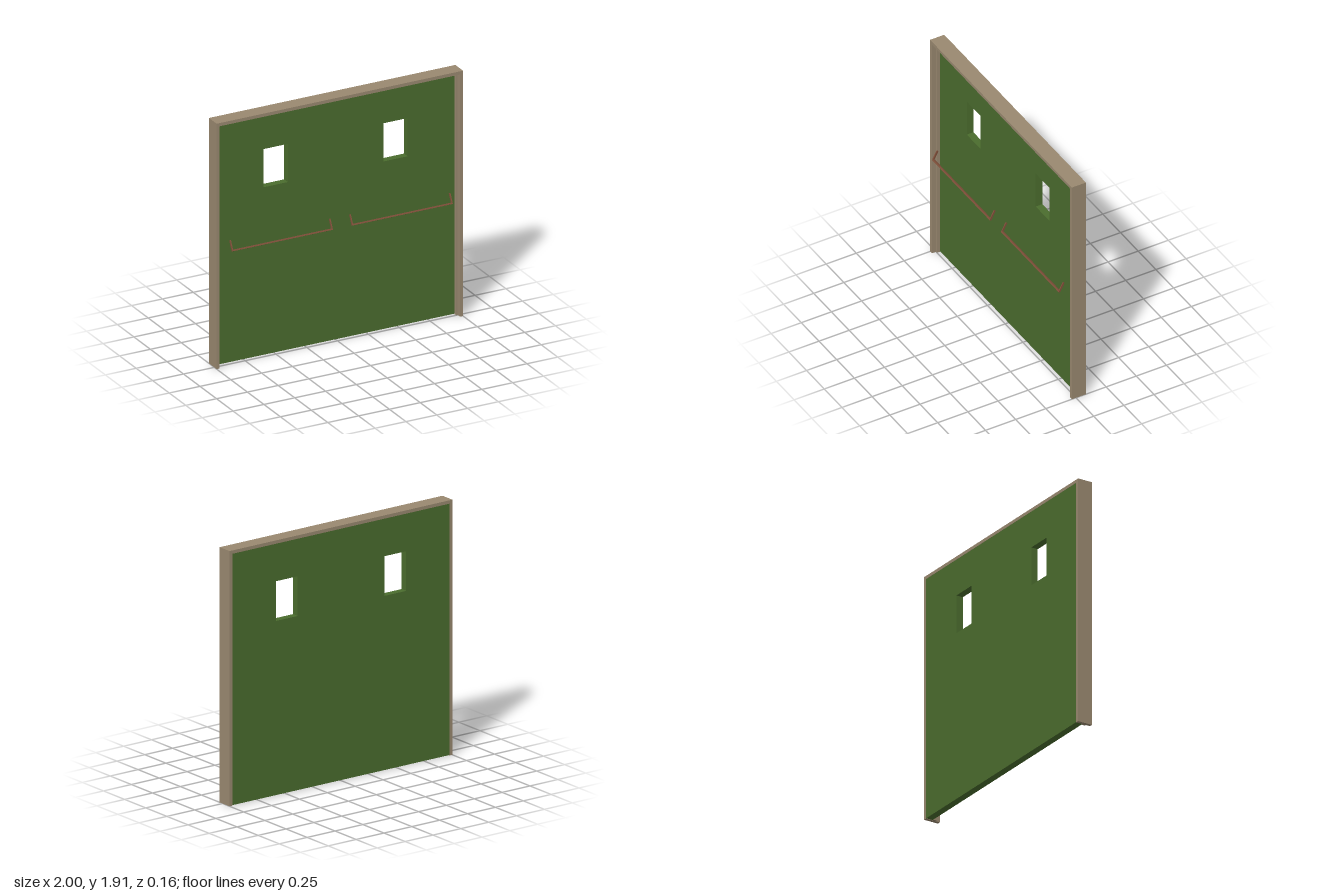
import * as THREE from 'three';

export function createModel() {
  const model = new THREE.Group();
  const wood = new THREE.MeshStandardMaterial({ color: 0x9a8970 });
  wood.name = 'frame tan';
  const green = new THREE.MeshStandardMaterial({ color: 0x4b6d2e });
  green.name = 'door green';
  const brown = new THREE.MeshStandardMaterial({ color: 0x80503a });
  brown.name = 'handle brown';

  function add(parent, name, geometry, material, x = 0, y = 0, z = 0) {
    const mesh = new THREE.Mesh(geometry, material);
    mesh.name = name;
    mesh.position.set(x, y, z);
    parent.add(mesh);
    return mesh;
  }
  const extrude = (shape, depth) => new THREE.ExtrudeGeometry(shape, { depth, bevelEnabled: false });

  // Three-sided surround, open at the floor
  function surround(halfWidth, top, thickness, depth) {
    const w = halfWidth, i = w - thickness, t = top - thickness;
    const points = [[-w, 0], [-i, 0], [-i, t], [i, t], [i, 0], [w, 0], [w, top], [-w, top]];
    return extrude(new THREE.Shape(points.map(p => new THREE.Vector2(...p))), depth);
  }
  add(model, 'outerFrame', surround(1, 1.915, 0.025, 0.117), wood, 0, 0, -0.082);
  add(model, 'doorStop', surround(0.975, 1.89, 0.013, 0.026), wood, 0, 0, -0.026);

  // Door panel with two window openings
  const rect = (Type, x0, y0, x1, y1) => new Type([[x0, y0], [x1, y0], [x1, y1], [x0, y1]]
    .map(p => new THREE.Vector2(...p)));
  const panel = rect(THREE.Shape, -0.975, 0.003, 0.975, 1.89);
  for (const x of [-0.488, 0.485]) {
    panel.holes.push(rect(THREE.Path, x - 0.098, 1.31, x + 0.098, 1.608));
  }
  add(model, 'doorPanel', extrude(panel, 0.055), green, 0, 0, -0.081);

  // Tilted pull bars, each with an arm at both ends
  for (const x of [-0.488, 0.485]) {
    const handle = new THREE.Group();
    handle.name = 'handle';
    handle.position.set(x, 0.948, 0.056);
    handle.rotation.x = -0.48;
    add(handle, 'bar', new THREE.BoxGeometry(0.816, 0.012, 0.014), brown, 0, -0.035, 0);
    for (const side of [-1, 1]) {
      add(handle, 'arm', new THREE.BoxGeometry(0.008, 0.082, 0.014), brown, side * 0.404, 0, 0);
    }
    model.add(handle);
  }
  return model;
}
